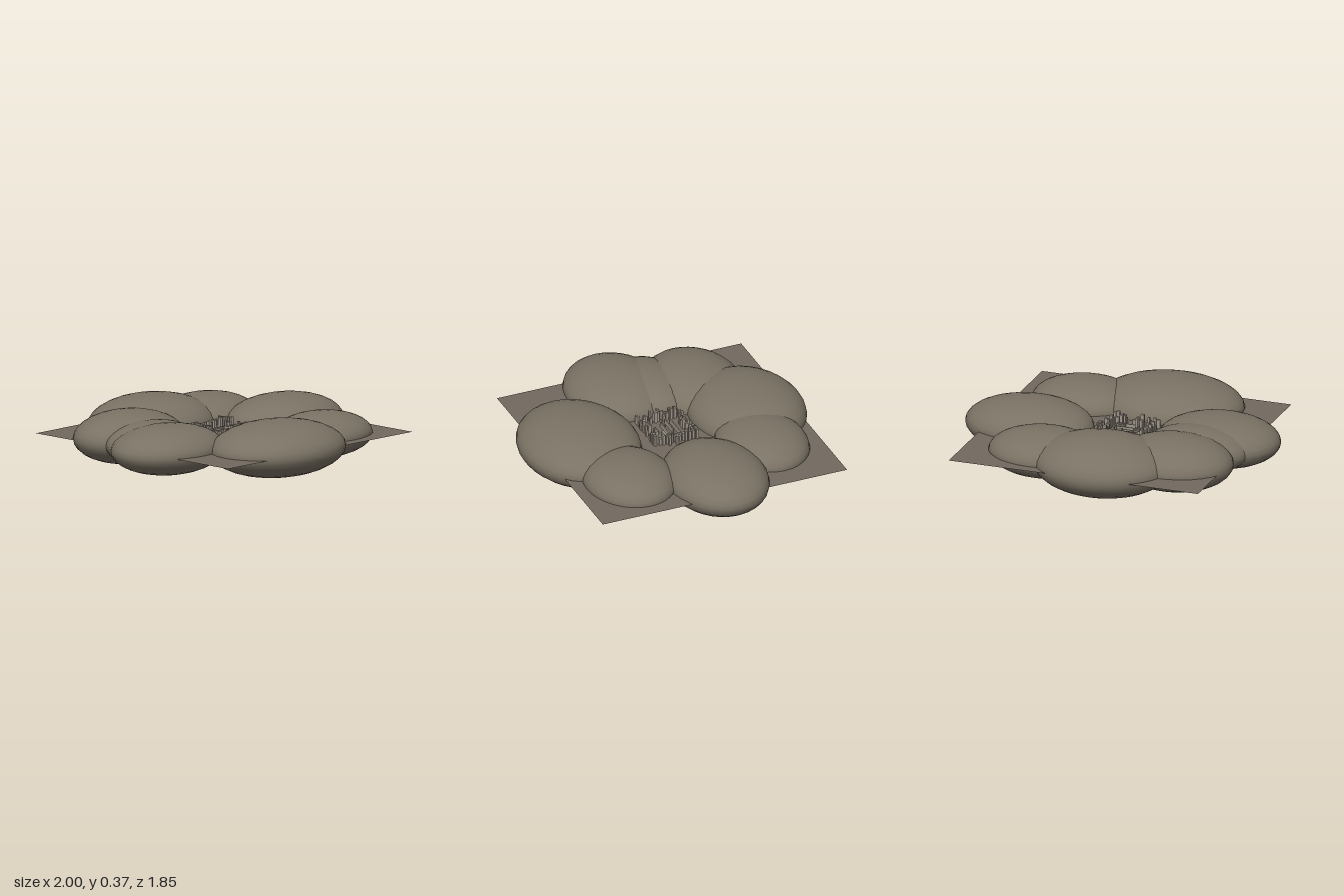
import * as THREE from 'three';

const GROUND_Y = 0.187;

export function createModel() {
  const model = new THREE.Group();
  model.name = 'cityInHills';

  const material = (name, color, side = THREE.FrontSide) => {
    const m = new THREE.MeshStandardMaterial({ color, side });
    m.name = name;
    return m;
  };
  const hillMat = material('hill earth', 0x7a7264);
  const groundMat = material('ground earth', 0x72695f, THREE.DoubleSide);
  const stoneMat = material('pale stone', 0xa0968a);

  // Ground sheet
  const ground = new THREE.Mesh(new THREE.PlaneGeometry(1.645, 1.645), groundMat);
  ground.name = 'ground';
  ground.rotation.x = -Math.PI / 2;
  ground.position.set(0.005, GROUND_Y, -0.03);
  model.add(ground);

  // Ring of flattened hills: name, x, z, radii in x, y and z
  const hills = [
    ['frontHill', -0.115, 0.545, 0.47, 0.172, 0.375],
    ['frontLeftHill', 0.4, 0.43, 0.345, 0.14, 0.285],
    ['leftHill', 0.585, -0.07, 0.41, 0.16, 0.32],
    ['backLeftHill', 0.33, -0.495, 0.355, 0.145, 0.285],
    ['backHill', -0.08, -0.565, 0.44, 0.185, 0.365],
    ['backRightHill', -0.48, -0.38, 0.38, 0.165, 0.312],
    ['rightSaddleHill', -0.54, -0.115, 0.335, 0.14, 0.25],
    ['rightHill', -0.61, 0.08, 0.39, 0.153, 0.32],
  ];
  const sphere = new THREE.SphereGeometry(1, 32, 16);
  for (const [name, x, z, rx, ry, rz] of hills) {
    const hill = new THREE.Mesh(sphere, hillMat);
    hill.name = name;
    hill.position.set(x, GROUND_Y, z);
    hill.scale.set(rx, ry, rz);
    model.add(hill);
  }

  // City in the valley
  const city = new THREE.Group();
  city.name = 'city';
  city.position.set(-0.036, GROUND_Y, -0.017);
  model.add(city);

  const box = new THREE.BoxGeometry(1, 1, 1).translate(0, 0.5, 0);
  const addBlock = (name, x, z, w, h, d) => {
    const block = new THREE.Mesh(box, stoneMat);
    block.name = name;
    block.position.set(x, 0, z);
    block.scale.set(w, h, d);
    city.add(block);
  };

  let seed = 7;
  const random = () => (seed = (seed * 16807) % 2147483647) / 2147483647;

  // Towers in two rough rings along the edge
  const columns = 13, rows = 11;
  const pitchX = 0.34 / columns, pitchZ = 0.3 / rows;
  for (let i = 0; i < columns; i++) {
    for (let j = 0; j < rows; j++) {
      const ring = Math.min(i, j, columns - 1 - i, rows - 1 - j);
      if (ring > 1 || random() < 0.15) continue;
      const x = (i - (columns - 1) / 2) * pitchX + (random() - 0.5) * 0.008;
      const z = (j - (rows - 1) / 2) * pitchZ + (random() - 0.5) * 0.008;
      addBlock('tower', x, z, 0.012 + random() * 0.01, 0.035 + random() * 0.045,
        0.012 + random() * 0.01);
    }
  }

  // Low walls and long halls in the middle
  const walls = [
    [0, -0.055, 0.18, 0.007], [0.09, 0.01, 0.007, 0.13],
    [-0.03, -0.025, 0.13, 0.007], [0, 0.015, 0.15, 0.007],
    [0.055, 0.045, 0.055, 0.016], [0.075, 0.025, 0.007, 0.055],
    [-0.065, 0, 0.05, 0.007], [0.03, 0.07, 0.12, 0.007],
  ];
  for (const [x, z, w, d] of walls) addBlock('wall', x, z, w, 0.03, d);

  return model;
}
